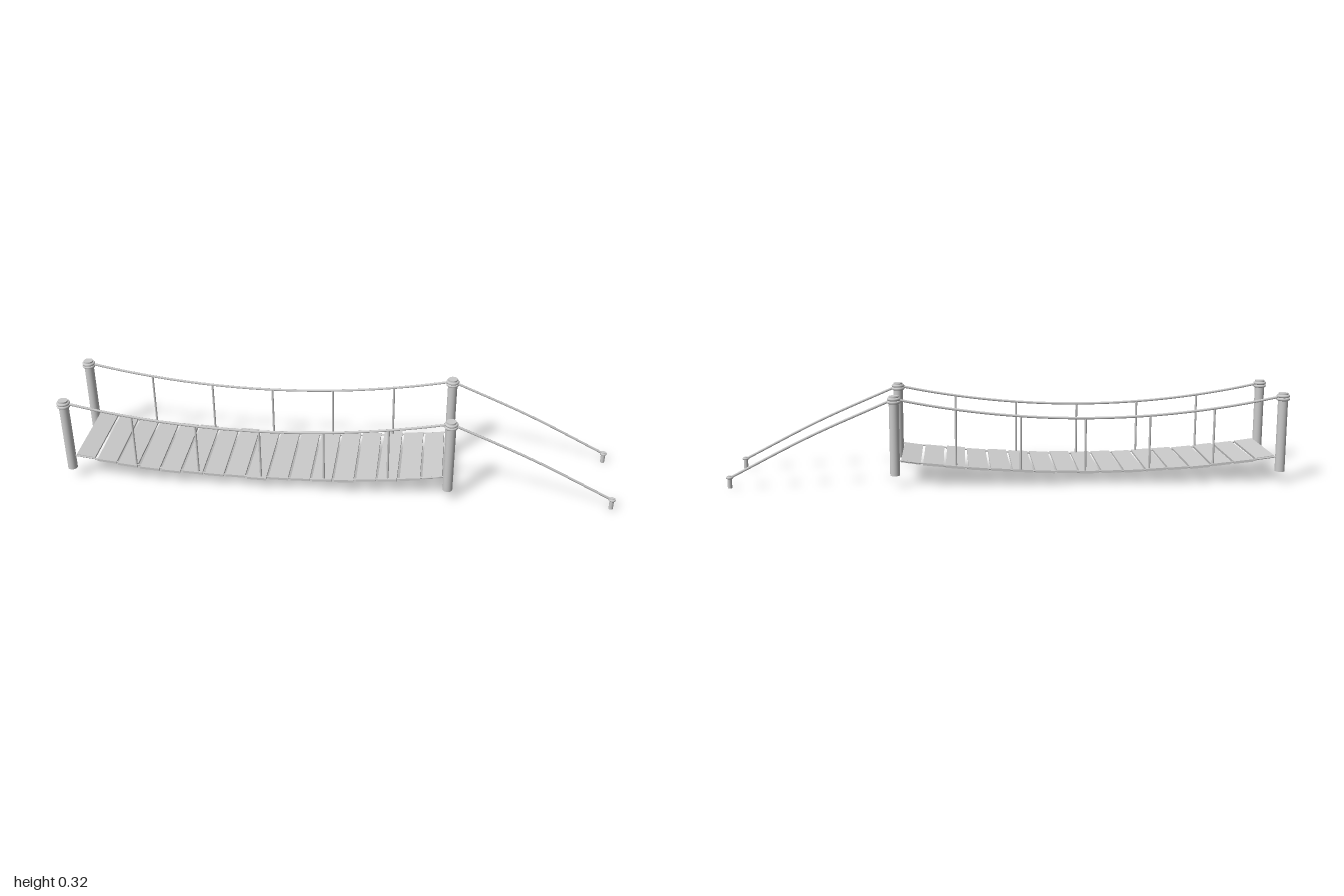
import * as THREE from 'three';

const LEFT = -0.975, RIGHT = 0.405, MID = (LEFT + RIGHT) / 2, HALF = (RIGHT - LEFT) / 2;
const SIDE = 0.151;
const sag = (low, rise) => (x) => low + rise * ((x - MID) / HALF) ** 2;
const railY = sag(0.24, 0.074);
const deckY = sag(0.046, 0.049);

export function createModel() {
  const bridge = new THREE.Group();
  bridge.name = 'ropeBridge';
  const mat = new THREE.MeshStandardMaterial({ color: 0xcccccc });

  let seed = 7;
  const jitter = (amount) => {
    seed = (seed * 16807) % 2147483647;
    return (seed / 2147483647 - 0.5) * 2 * amount;
  };
  const add = (name, geometry, x = 0, y = 0, z = 0) => {
    const mesh = new THREE.Mesh(geometry, mat);
    mesh.name = name;
    mesh.position.set(x, y, z);
    bridge.add(mesh);
    return mesh;
  };
  const rope = (name, points, radius) =>
    add(name, new THREE.TubeGeometry(new THREE.CatmullRomCurve3(points), 48, radius, 8));
  const ring = (name, x, y, z, radius, tube) => {
    add(name, new THREE.TorusGeometry(radius, tube, 8, 24), x, y, z).rotation.x = Math.PI / 2;
  };
  const hangingPoints = (height, z, from, to) => Array.from({ length: 13 }, (_, i) => {
    const x = from + ((to - from) * i) / 12;
    return new THREE.Vector3(x, height(x), z);
  });

  for (const z of [SIDE, -SIDE]) {
    // Posts with two turns of rope near the top
    for (const x of [LEFT, RIGHT]) {
      add('post', new THREE.CylinderGeometry(0.0175, 0.0175, 0.285, 24), x, 0.1825, z);
      for (const y of [0.303, 0.314]) ring('postLashing', x, y, z, 0.0185, 0.0055);
    }

    // Sagging handrail and the rope carrying the deck
    rope('handrailRope', hangingPoints(railY, z, LEFT, RIGHT), 0.0045);
    rope('deckRope', hangingPoints(deckY, z, LEFT + 0.015, RIGHT - 0.015), 0.003);

    // Vertical hangers
    for (let i = 0; i < 5; i++) {
      const x = -0.731 + i * 0.23;
      const top = railY(x), bottom = deckY(x);
      add('hanger', new THREE.CylinderGeometry(0.004, 0.004, top - bottom, 8), x, (top + bottom) / 2, z);
    }

    // Stay rope running down to a ground stake
    rope('stayRope', [
      new THREE.Vector3(RIGHT, 0.314, z),
      new THREE.Vector3(0.7, 0.184, z),
      new THREE.Vector3(0.986, 0.037, z),
    ], 0.0045);
    add('stake', new THREE.CylinderGeometry(0.008, 0.008, 0.044, 16), 0.986, 0.022, z);
    ring('stakeLashing', 0.986, 0.038, z, 0.009, 0.004);
  }

  // Deck planks follow the sag, each slightly uneven
  for (let i = 0; i < 17; i++) {
    const x = -0.92 + i * 0.0793;
    const end = i === 0 || i === 16;
    const length = end ? 0.302 : 0.322 + jitter(0.009);
    const plank = add('plank', new THREE.BoxGeometry(0.07 + jitter(0.002), 0.009, length),
      x, deckY(x) + jitter(0.0015), end ? 0 : jitter(0.003));
    plank.rotation.z = Math.atan((2 * 0.049 * (x - MID)) / HALF ** 2) + jitter(0.02);
    plank.rotation.y = end ? 0 : jitter(0.012);
  }
  return bridge;
}
